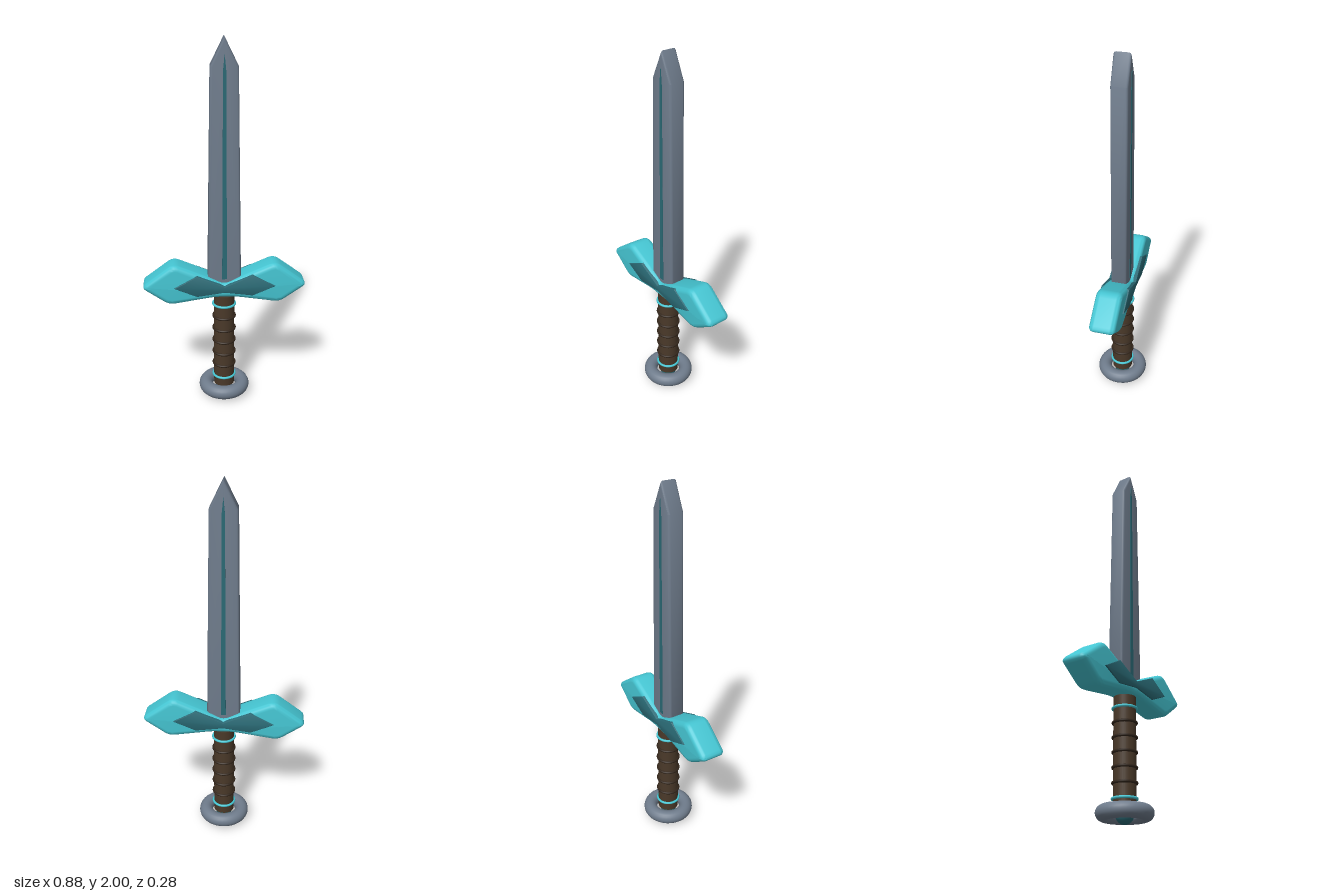
import * as THREE from 'three';
import { toCreasedNormals } from 'three/addons/utils/BufferGeometryUtils.js';

const mat = (color) => new THREE.MeshStandardMaterial({ color });
const steel = mat(0x6f7c8c), teal = mat(0x45c5d2), darkTeal = mat(0x2a6a75);
const leather = mat(0x4a3929), darkLeather = mat(0x33261b);

// Mirror the right half of an outline (bottom centre to top centre) to the left
function mirrored(half) {
  const left = half.filter(([x]) => x > 0).reverse().map(([x, y]) => [-x, y]);
  return [...half, ...left];
}

// Closed shape whose corners are rounded by up to r
function roundedShape(points, r) {
  const p = points.map(([x, y]) => new THREE.Vector2(x, y));
  const shape = new THREE.Shape();
  p.forEach((c, i) => {
    const toward = (q) => c.clone().add(q.clone().sub(c).setLength(Math.min(r, q.distanceTo(c) * 0.4)));
    const a = toward(p[(i + p.length - 1) % p.length]);
    const b = toward(p[(i + 1) % p.length]);
    if (i === 0) shape.moveTo(a.x, a.y); else shape.lineTo(a.x, a.y);
    shape.quadraticCurveTo(c.x, c.y, b.x, b.y);
  });
  shape.closePath();
  return shape;
}

// Slab of half thickness hz, centred on z = 0, with its bevel kept inside the outline
function slab(shape, hz, bevel, segments, crease) {
  const geo = new THREE.ExtrudeGeometry(shape, {
    depth: 2 * (hz - bevel), curveSegments: 4, bevelEnabled: bevel > 0,
    bevelThickness: bevel, bevelSize: bevel, bevelOffset: -bevel, bevelSegments: segments,
  });
  geo.translate(0, 0, -(hz - bevel));
  return toCreasedNormals(geo, crease);
}

const polygon = (pts) => new THREE.Shape(pts.map(([x, y]) => new THREE.Vector2(x, y)));

export function createModel() {
  const group = new THREE.Group();
  const add = (name, geo, material, y = 0) => {
    const mesh = new THREE.Mesh(geo, material);
    mesh.name = name;
    mesh.position.y = y;
    group.add(mesh);
    return mesh;
  };
  const ring = (name, y, radius, tube, material, sides = 10) =>
    add(name, new THREE.TorusGeometry(radius, tube, sides, 40).rotateX(Math.PI / 2), material, y);

  // Blade and the narrow inlaid strip along its middle
  const bladeOutline = mirrored([[0, 0.69], [0.075, 0.69], [0.09, 0.72], [0.07, 1.86], [0, 2.0]]);
  add('blade', slab(polygon(bladeOutline), 0.043, 0.012, 3, 0.6), steel);
  const stripOutline = mirrored([[0, 0.735], [0.013, 0.735], [0.008, 1.84], [0, 1.92]]);
  add('bladeInlay', slab(polygon(stripOutline), 0.0455, 0, 1, 0.6), darkTeal);

  // Winged guard
  const guardOutline = mirrored([
    [0, 0.632], [0.06, 0.632], [0.3, 0.594], [0.452, 0.7], [0.275, 0.832], [0.09, 0.752], [0, 0.705],
  ]);
  add('guard', slab(roundedShape(guardOutline, 0.035), 0.07, 0.028, 5, 0.9), teal);

  // Dark panel running through the guard, proud of both faces
  const panelOutline = mirrored([[0, 0.668], [0.15, 0.647], [0.273, 0.7], [0.15, 0.768], [0, 0.703]]);
  add('guardPanel', slab(polygon(panelOutline), 0.077, 0.004, 2, 0.5), darkTeal);

  // Grip with its wrapped cords and end bands
  add('grip', new THREE.CylinderGeometry(0.057, 0.057, 0.565, 32), leather, 0.3475);
  for (let i = 0; i < 5; i++) ring('gripCord', 0.195 + i * 0.075, 0.058, 0.008, darkLeather);
  for (const y of [0.12, 0.57]) ring('gripBand', y, 0.06, 0.007, teal);

  // Pommel ring and the gem beneath it
  ring('pommelRing', 0.054, 0.104, 0.038, steel, 20);
  add('pommelGem', new THREE.SphereGeometry(0.045, 24, 16), darkTeal, 0.045);

  return group;
}
